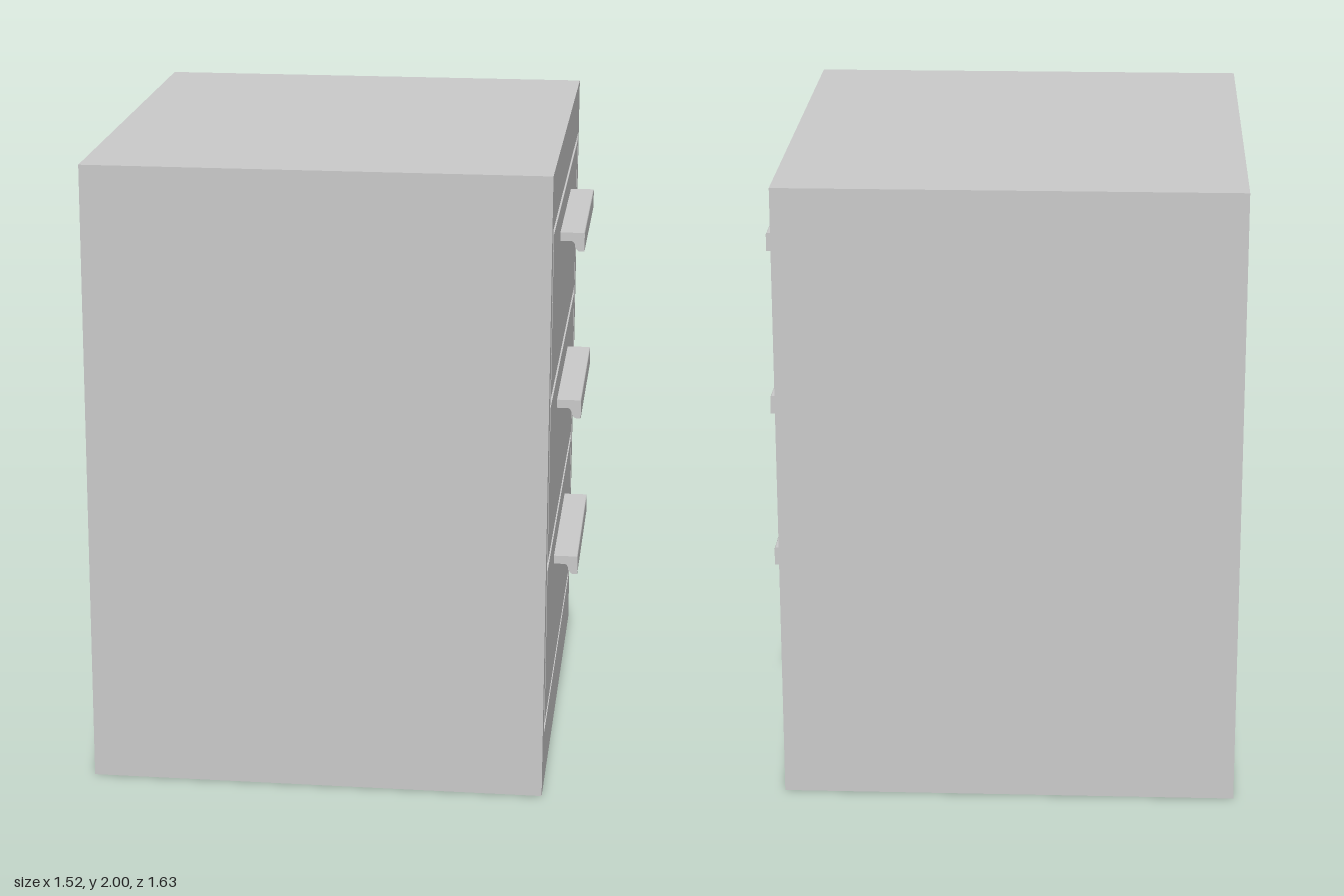
import * as THREE from 'three';

const material = new THREE.MeshStandardMaterial({ color: 0xcccccc });
const WIDTH = 1.63, HEIGHT = 2;
const BACK = -0.76, FRONT = 0.68, FLOOR = 0.65;

function add(parent, name, geometry, x = 0, y = 0, z = 0) {
  const mesh = new THREE.Mesh(geometry, material);
  mesh.name = name;
  mesh.position.set(x, y, z);
  parent.add(mesh);
  return mesh;
}

function rectangle(target, w, y0, y1) {
  target.moveTo(-w / 2, y0);
  target.lineTo(w / 2, y0);
  target.lineTo(w / 2, y1);
  target.lineTo(-w / 2, y1);
  target.closePath();
  return target;
}

// Rectangular ring lying across the x axis, extruded towards +x
function ring(holeWidth, y0, y1, depth) {
  const shape = rectangle(new THREE.Shape(), WIDTH, 0, HEIGHT);
  shape.holes.push(rectangle(new THREE.Path(), holeWidth, y0, y1));
  return new THREE.ExtrudeGeometry(shape, { depth, bevelEnabled: false }).rotateY(Math.PI / 2);
}

// Hooked pull: a flat arm with a lip turned down at its outer end
function handleGeometry() {
  const s = new THREE.Shape();
  s.moveTo(0, 0);
  s.lineTo(0, -0.027);
  s.lineTo(0.036, -0.027);
  s.quadraticCurveTo(0.044, -0.029, 0.047, -0.04);
  s.quadraticCurveTo(0.05, -0.056, 0.06, -0.06);
  s.lineTo(0.077, -0.06);
  s.lineTo(0.077, -0.006);
  s.quadraticCurveTo(0.077, 0, 0.071, 0);
  s.closePath();
  return new THREE.ExtrudeGeometry(s, { depth: 0.655, bevelEnabled: false, curveSegments: 5 });
}

export function createModel() {
  const cabinet = new THREE.Group();
  cabinet.name = 'drawerCabinet';

  // Carcass with a framed front opening and a slightly inset back
  const inset = 0.015;
  const depth = FLOOR - BACK - inset;
  add(cabinet, 'carcass', new THREE.BoxGeometry(depth, HEIGHT, WIDTH),
    BACK + inset + depth / 2, HEIGHT / 2);
  add(cabinet, 'frontFrame', ring(1.5, 0.185, 1.825, FRONT - FLOOR), FLOOR);
  add(cabinet, 'backRim', ring(WIDTH - 0.024, 0.012, HEIGHT - 0.012, inset), BACK);

  // Drawers: bottom, top and height of the handle's upper edge
  const handle = handleGeometry();
  const drawers = [
    ['lower', 0.21, 0.72, 0.64],
    ['middle', 0.75, 1.255, 1.17],
    ['upper', 1.285, 1.8, 1.72],
  ];
  for (const [name, y0, y1, handleTop] of drawers) {
    const drawer = new THREE.Group();
    drawer.name = name + 'Drawer';
    add(drawer, 'drawerFront', new THREE.BoxGeometry(FRONT - FLOOR, y1 - y0, 1.44),
      (FRONT + FLOOR) / 2, (y0 + y1) / 2);
    add(drawer, 'handle', handle, FRONT, handleTop, -0.317);
    cabinet.add(drawer);
  }
  return cabinet;
}
